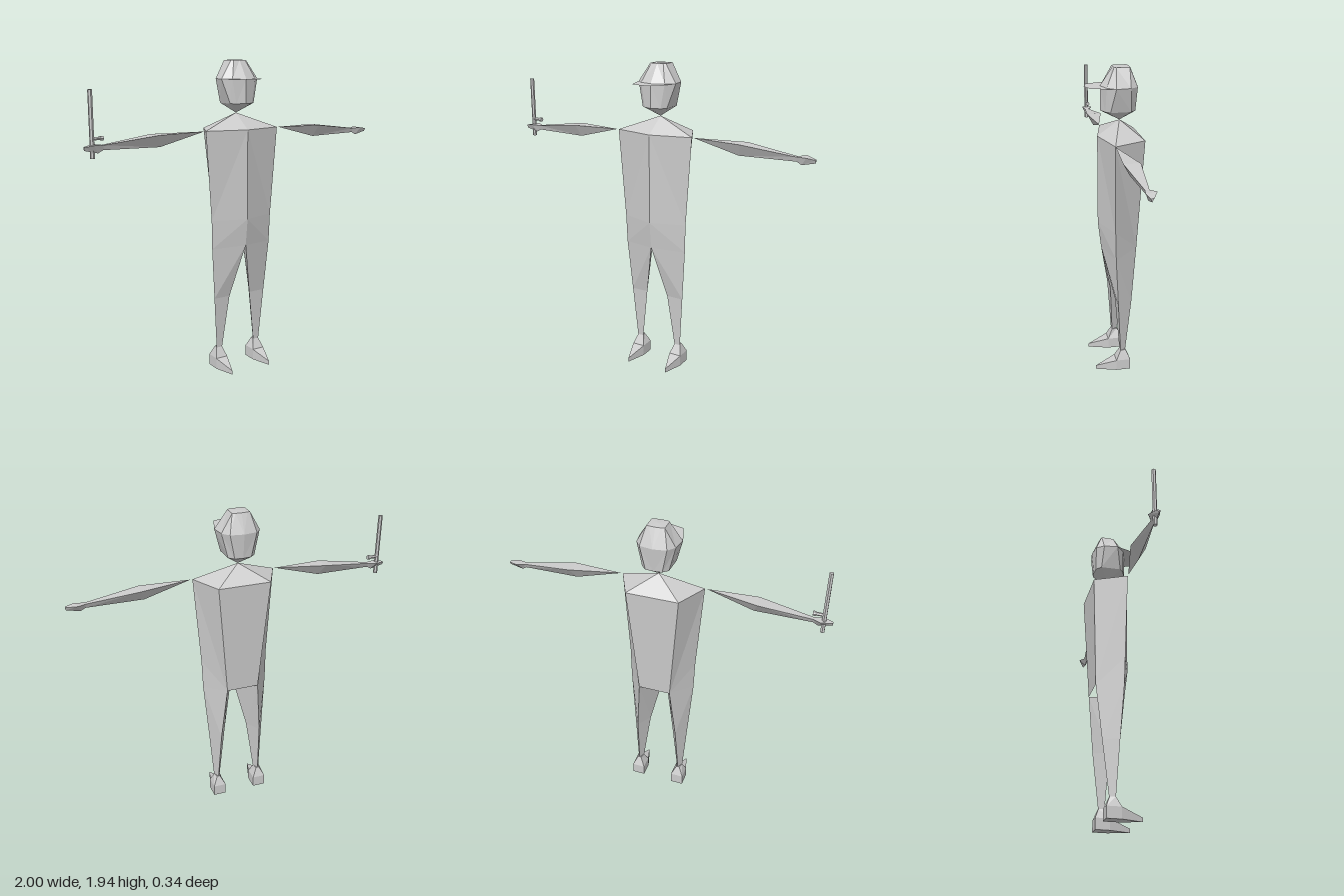
import * as THREE from 'three';
import { mergeGeometries } from 'three/addons/utils/BufferGeometryUtils.js';

const grey = new THREE.MeshStandardMaterial({ color: 0xcccccc, flatShading: true });
const thin = new THREE.MeshStandardMaterial({ color: 0xcccccc, flatShading: true, side: THREE.DoubleSide });

// Skins a list of cross-sections; a one-point section makes a tip.
// side = -1 mirrors the result in x.
function loft(rings, side = 1, closed = true) {
  const n = Math.max(...rings.map((r) => r.length));
  const pos = [];
  const tri = (a, b, c) => {
    if (a === b || b === c || a === c) return;
    for (const p of side > 0 ? [a, b, c] : [a, c, b]) pos.push(p[0] * side, p[1], p[2]);
  };
  for (let k = 0; k + 1 < rings.length; k++) {
    const lo = rings[k], hi = rings[k + 1];
    for (let i = 0; i < (closed ? n : n - 1); i++) {
      const j = (i + 1) % n;
      const a = lo[i % lo.length], b = lo[j % lo.length];
      const c = hi[j % hi.length], d = hi[i % hi.length];
      tri(a, b, d);
      tri(b, c, d);
    }
  }
  const g = new THREE.BufferGeometry();
  g.setAttribute('position', new THREE.Float32BufferAttribute(pos, 3));
  g.computeVertexNormals();
  return g;
}

// Both mirrored halves joined along x = 0
const halves = (rings) => mergeGeometries([loft(rings, 1, false), loft(rings, -1, false)]);
const level = (y, pts) => pts.map(([x, z]) => [x, y, z]);

export function createModel() {
  const model = new THREE.Group();
  const add = (name, geometry, parent = model, material = grey) => {
    const mesh = new THREE.Mesh(geometry, material);
    mesh.name = name;
    parent.add(mesh);
    return mesh;
  };

  // Torso: front ridge, side, back corner, back middle
  const crotch = [0, 0.81, 0.065], hip = [0.21, 0.8, 0.01];
  const seat = [0.1, 0.83, -0.14], seatMid = [0, 0.83, -0.14];
  add('torso', halves([
    [crotch, crotch, seat, seatMid],
    [crotch, hip, seat, seatMid],
    [[0, 0.98, 0.085], [0.215, 0.98, 0.015], seat, seatMid],
    level(1.53, [[0, 0.085], [0.255, 0.025], [0.16, -0.172], [0, -0.172]]),
    [[0, 1.625, -0.05]],
  ]));

  // Head: pointed chin, jaw, brow and flat crown
  add('head', halves([
    [[0, 1.625, -0.05]],
    level(1.685, [[0, 0.067], [0.055, 0.045], [0.083, 0.02], [0.08, -0.105], [0.05, -0.135], [0, -0.14]]),
    level(1.83, [[0, 0.067], [0.08, 0.042], [0.127, -0.007], [0.115, -0.095], [0.08, -0.142], [0, -0.155]]),
    level(1.94, [[0, -0.008], [0.04, -0.01], [0.053, -0.02], [0.053, -0.1], [0.035, -0.105], [0, -0.107]]),
    [[0, 1.943, -0.06]],
  ]));

  // Flat cap visor
  const outline = [[0.127, -0.007], [0.11, 0.05], [0.08, 0.138], [0, 0.163],
    [-0.08, 0.138], [-0.11, 0.05], [-0.127, -0.007]];
  const visor = new THREE.ShapeGeometry(new THREE.Shape(outline.map((p) => new THREE.Vector2(...p))));
  add('capVisor', visor.rotateX(Math.PI / 2).translate(0, 1.83, 0), model, thin);

  for (const [side, label] of [[1, 'left'], [-1, 'right']]) {
    // Leg of triangular section
    add(label + 'Leg', loft([
      level(0.13, [[0.12, -0.03], [0.16, -0.03], [0.14, -0.065]]),
      level(0.47, [[0.075, -0.01], [0.185, -0.01], [0.13, -0.105]]),
      [crotch, hip, seat],
    ], side));

    // Foot with square heel and pointed toe
    const sole = [[0.14, 0.13], [0.18, 0], [0.18, -0.09], [0.1, -0.09], [0.1, 0]];
    const top = level(0.07, sole);
    add(label + 'Foot', loft([
      [[0.14, 0, 0]],
      level(0, sole),
      [[0.14, 0.025, 0.13], ...top.slice(1)],
      [[0.14, 0.07, 0], ...top.slice(1)],
      level(0.13, [[0.14, -0.03], [0.16, -0.03], [0.15, -0.065], [0.13, -0.065], [0.12, -0.03]]),
      [[0.14, 0.13, -0.05]],
    ], side));

    // Arm and hand: flat on top, edge below
    add(label + 'Arm', loft([
      [[0.265, 1.53, 0.025]],
      [[0.58, 1.527, -0.045], [0.57, 1.527, 0.05], [0.55, 1.455, 0.01]],
      [[0.89, 1.488, -0.014], [0.89, 1.488, 0.01], [0.89, 1.46, 0]],
    ], side));
    add(label + 'Hand', loft([
      [[0.885, 1.475, 0]],
      [[0.89, 1.488, -0.014], [0.89, 1.488, 0.01], [0.89, 1.46, 0]],
      [[0.935, 1.493, -0.043], [0.95, 1.49, 0.02], [0.92, 1.444, 0]],
      [[1, 1.482, -0.01], [1, 1.482, 0.008], [1, 1.463, 0]],
      [[1, 1.475, 0]],
    ], side));
  }

  // Baton with side grip, held upright in the right hand
  const baton = new THREE.Group();
  baton.name = 'baton';
  baton.position.set(-0.95, 0, -0.008);
  add('batonShaft', new THREE.CylinderGeometry(0.013, 0.013, 0.375, 6), baton).position.y = 1.603;
  const grip = add('batonGrip', new THREE.CylinderGeometry(0.01, 0.01, 0.055, 6), baton);
  const knob = add('batonKnob', new THREE.CylinderGeometry(0.014, 0.014, 0.016, 6), baton);
  grip.position.set(0.028, 1.525, 0);
  knob.position.set(0.057, 1.525, 0);
  grip.rotation.z = knob.rotation.z = Math.PI / 2;
  model.add(baton);

  return model;
}
